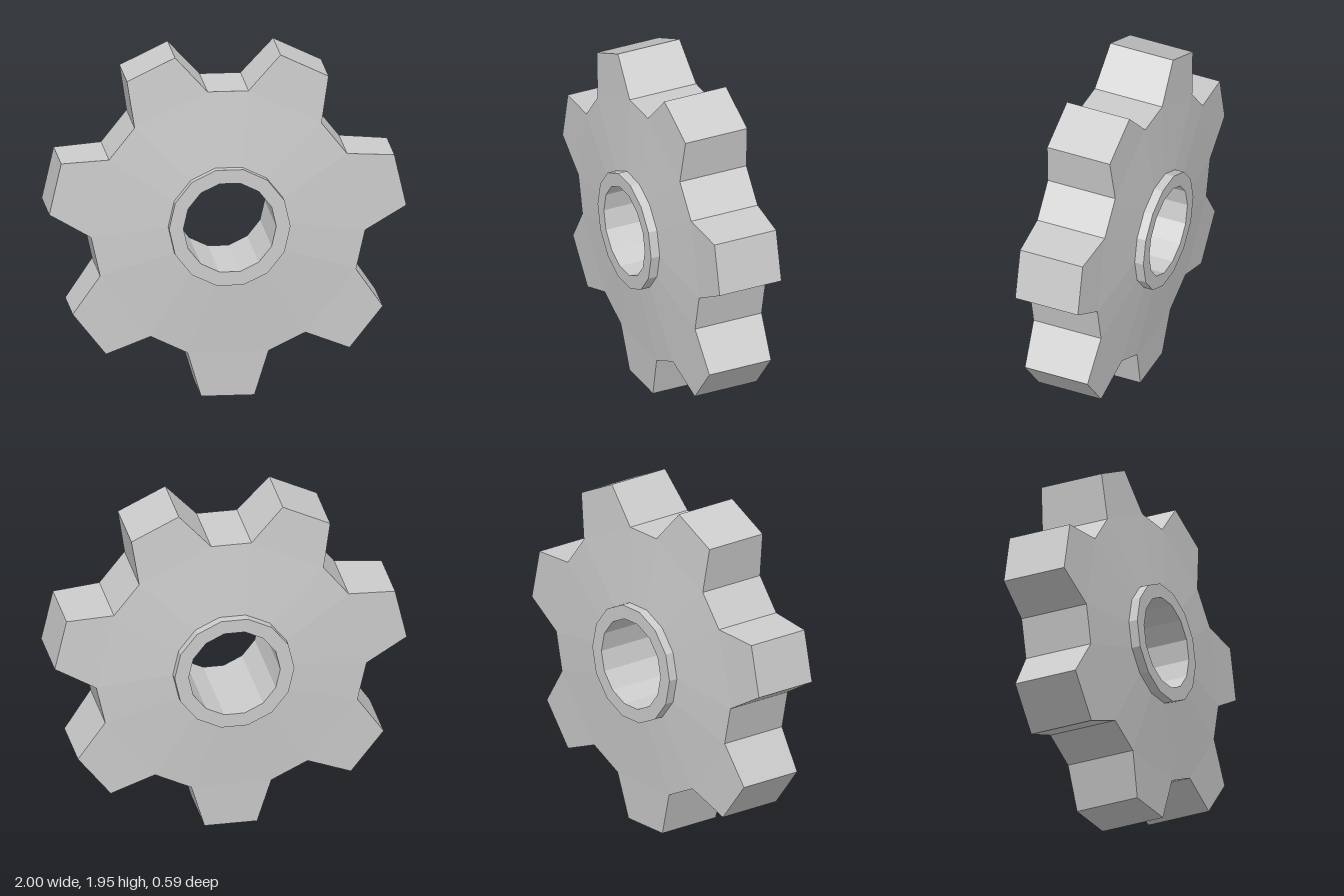
import * as THREE from 'three';

const TEETH = 7;
const PITCH = (Math.PI * 2) / TEETH;
const CENTER_Y = 0.992;

// A station is one ring of paired points: radius, half-angle either side of a tooth axis, depth
const HUB = PITCH / 4, ROOT = PITCH / 3, TIP = PITCH / 6;
const station = (r, half, z) => ({ r, half, z });

// Point number i on a station; even = clockwise side of a tooth, odd = the other side
function point(s, i) {
  const tooth = Math.floor(i / 2);
  const a = -Math.PI / 2 + tooth * PITCH + (i % 2 ? s.half : -s.half);
  return [s.r * Math.cos(a), s.r * Math.sin(a), s.z];
}

function quad(out, a, b, c, d) {
  out.push(...a, ...b, ...c, ...a, ...c, ...d);
}

// Strip between two stations over the chosen sectors
function band(out, s, t, sectors) {
  for (const i of sectors) quad(out, point(s, i), point(t, i), point(t, i + 1), point(s, i + 1));
}

function makeMesh(name, positions) {
  const geometry = new THREE.BufferGeometry();
  geometry.setAttribute('position', new THREE.Float32BufferAttribute(positions, 3));
  geometry.computeVertexNormals();
  const mesh = new THREE.Mesh(
    geometry,
    new THREE.MeshStandardMaterial({ color: 0xcccccc, flatShading: true })
  );
  mesh.name = name;
  return mesh;
}

export function createModel() {
  const gear = new THREE.Group();
  gear.name = 'gear';
  const all = Array.from({ length: TEETH * 2 }, (_, i) => i);
  const gaps = all.filter((i) => i % 2 === 1);

  const boreFront = station(0.26, HUB, 0.295), boreBack = station(0.26, HUB, -0.295);
  const hubFront = station(0.34, HUB, 0.295), hubBack = station(0.34, HUB, -0.295);
  const baseFront = station(0.34, HUB, 0.242), baseBack = station(0.34, HUB, -0.242);
  const rootFront = station(0.77, ROOT, 0.206), rootBack = station(0.77, ROOT, -0.206);
  const tipFront = station(1.003, TIP, 0.191), tipBack = station(1.003, TIP, -0.191);

  // Raised collars and the through bore
  const hub = [];
  band(hub, boreBack, boreFront, all);
  band(hub, boreFront, hubFront, all);
  band(hub, hubFront, baseFront, all);
  band(hub, baseBack, hubBack, all);
  band(hub, hubBack, boreBack, all);
  gear.add(makeMesh('hub', hub));

  // Tapered disc with root faces between the teeth
  const disc = [];
  band(disc, baseFront, rootFront, all);
  band(disc, rootFront, rootBack, gaps);
  band(disc, rootBack, baseBack, all);
  gear.add(makeMesh('disc', disc));

  // Teeth: front, tip, back and two flanks
  for (let n = 0; n < TEETH; n++) {
    const tooth = [], i = n * 2, j = i + 1;
    band(tooth, rootFront, tipFront, [i]);
    band(tooth, tipFront, tipBack, [i]);
    band(tooth, tipBack, rootBack, [i]);
    quad(tooth, point(rootFront, i), point(rootBack, i), point(tipBack, i), point(tipFront, i));
    quad(tooth, point(tipFront, j), point(tipBack, j), point(rootBack, j), point(rootFront, j));
    gear.add(makeMesh('tooth' + (n + 1), tooth));
  }

  gear.position.y = CENTER_Y;
  const model = new THREE.Group();
  model.name = 'gearModel';
  model.add(gear);
  return model;
}
